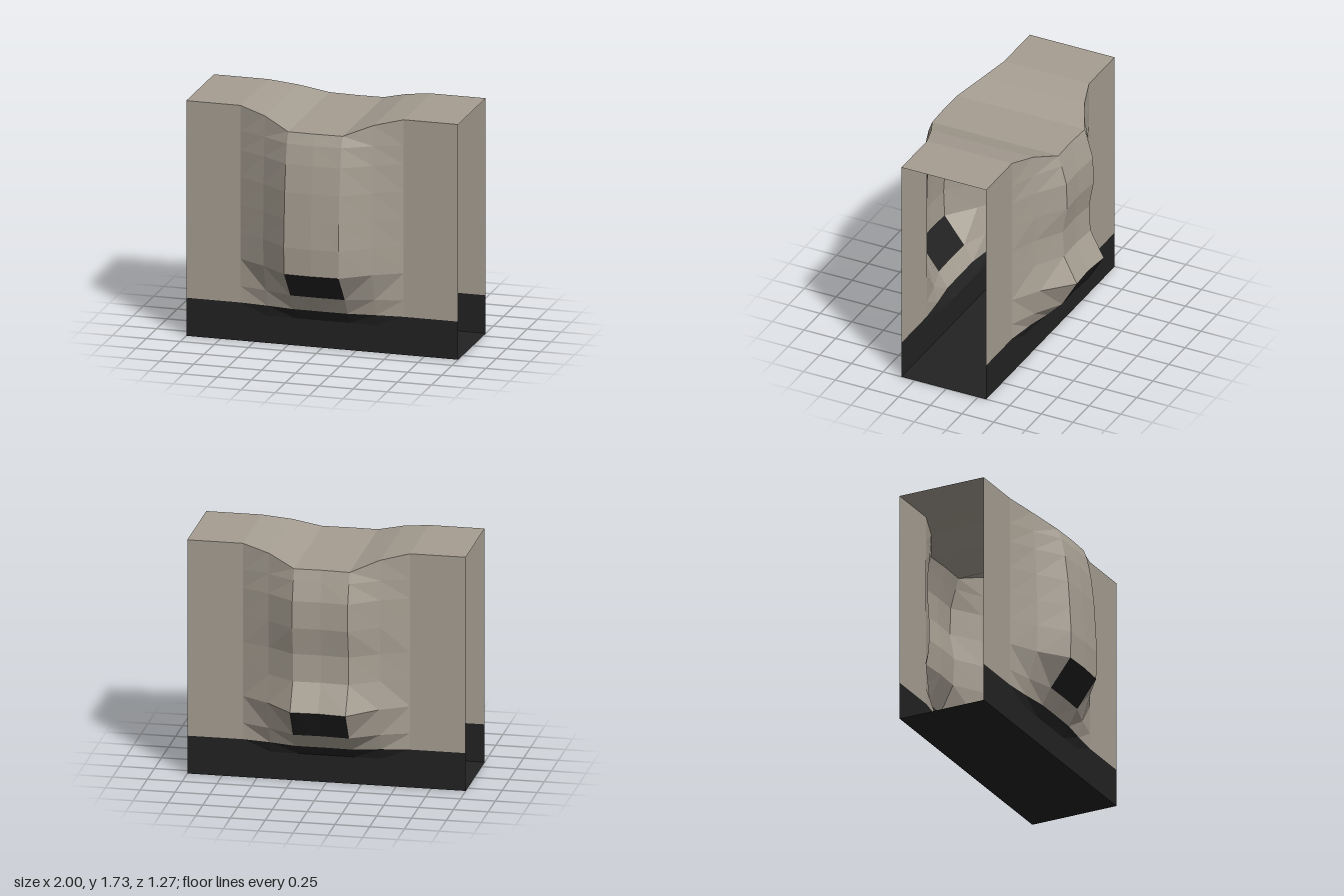
import * as THREE from 'three';

const FRONT = 0.355, BACK = -0.315;
const COLS = [-1, -0.6, -0.4, -0.2, 0, 0.2, 0.4, 0.6, 1];
const TOP = [1.73, 1.73, 1.69, 1.62, 1.62, 1.62, 1.69, 1.73, 1.73];
// Row heights; the last row follows the dipped top edge
const ROWS = [0, 0.2, 0.28, 0.4, 0.6, 0.8, 1, 1.2, 1.4, 1.54, null];

// How far each row bulges out of the wall, and the share each column takes
const FRONT_BULGE = [0, 0, 0.046, 0.115, 0.272, 0.28, 0.268, 0.255, 0.23, 0.2, 0.17];
const BACK_BULGE = [0, 0, 0.08, 0.2, 0.32, 0.215, 0.205, 0.24, 0.235, 0.195, 0.17];
const FRONT_SHARE = [0, 0, 0.4, 0.98, 1, 0.96, 0.4, 0, 0];
const BACK_SHARE = [0, 0, 0.38, 1, 0.94, 0.97, 0.38, 0, 0];

function geometryFrom(points) {
  const g = new THREE.BufferGeometry().setFromPoints(points);
  g.computeVertexNormals();
  return g;
}

export function createModel() {
  const group = new THREE.Group();
  const options = { flatShading: true, side: THREE.DoubleSide };
  const stone = new THREE.MeshStandardMaterial({ name: 'warm grey', color: 0xa69e92, ...options });
  const black = new THREE.MeshStandardMaterial({ name: 'black', color: 0x222222, ...options });

  const add = (name, points, material) => {
    const mesh = new THREE.Mesh(geometryFrom(points), material);
    mesh.name = name;
    group.add(mesh);
  };

  // Wall vertices on a regular grid, pushed outwards by the bulge
  const grid = (base, sign, bulge, share) => ROWS.map((y, r) => COLS.map((x, c) =>
    new THREE.Vector3(x, y ?? TOP[c], base + sign * bulge[r] * share[c])));
  const front = grid(FRONT, 1, FRONT_BULGE, FRONT_SHARE);
  const back = grid(BACK, -1, BACK_BULGE, BACK_SHARE);

  // Triangulate a wall, sorting its facets into wall, base band and opening
  const wall = (name, rows, outward) => {
    const parts = { Surface: [], BaseBand: [], Opening: [] };
    for (let r = 0; r < ROWS.length - 1; r++) {
      for (let c = 0; c < COLS.length - 1; c++) {
        const a = rows[r][c], b = rows[r][c + 1], d = rows[r + 1][c], e = rows[r + 1][c + 1];
        const leftHalf = c < 4, low = r < 4;
        // Diagonals mirror about the middle and flip above the ridge
        const tris = leftHalf === low
          ? [[a, b, d], [b, e, d]]
          : [[a, b, e], [a, e, d]];
        const part = r < 2 ? 'BaseBand' : r === 3 && (c === 3 || c === 4) ? 'Opening' : 'Surface';
        for (const [p, q, s] of tris) parts[part].push(...(outward > 0 ? [p, q, s] : [p, s, q]));
      }
    }
    for (const [part, points] of Object.entries(parts)) {
      add(name + part, points, part === 'Surface' ? stone : black);
    }
  };
  wall('frontWall', front, 1);
  wall('backWall', back, -1);

  // Top and floor bridge the two walls; both ends stay open
  const bridge = (f, b, up) => {
    const points = [];
    for (let c = 0; c < COLS.length - 1; c++) {
      const quad = [f[c], f[c + 1], b[c + 1], f[c], b[c + 1], b[c]];
      points.push(...(up ? quad : quad.reverse()));
    }
    return points;
  };
  const last = ROWS.length - 1;
  add('top', bridge(front[last], back[last], true), stone);
  add('floor', bridge(front[0], back[0], false), black);

  return group;
}
